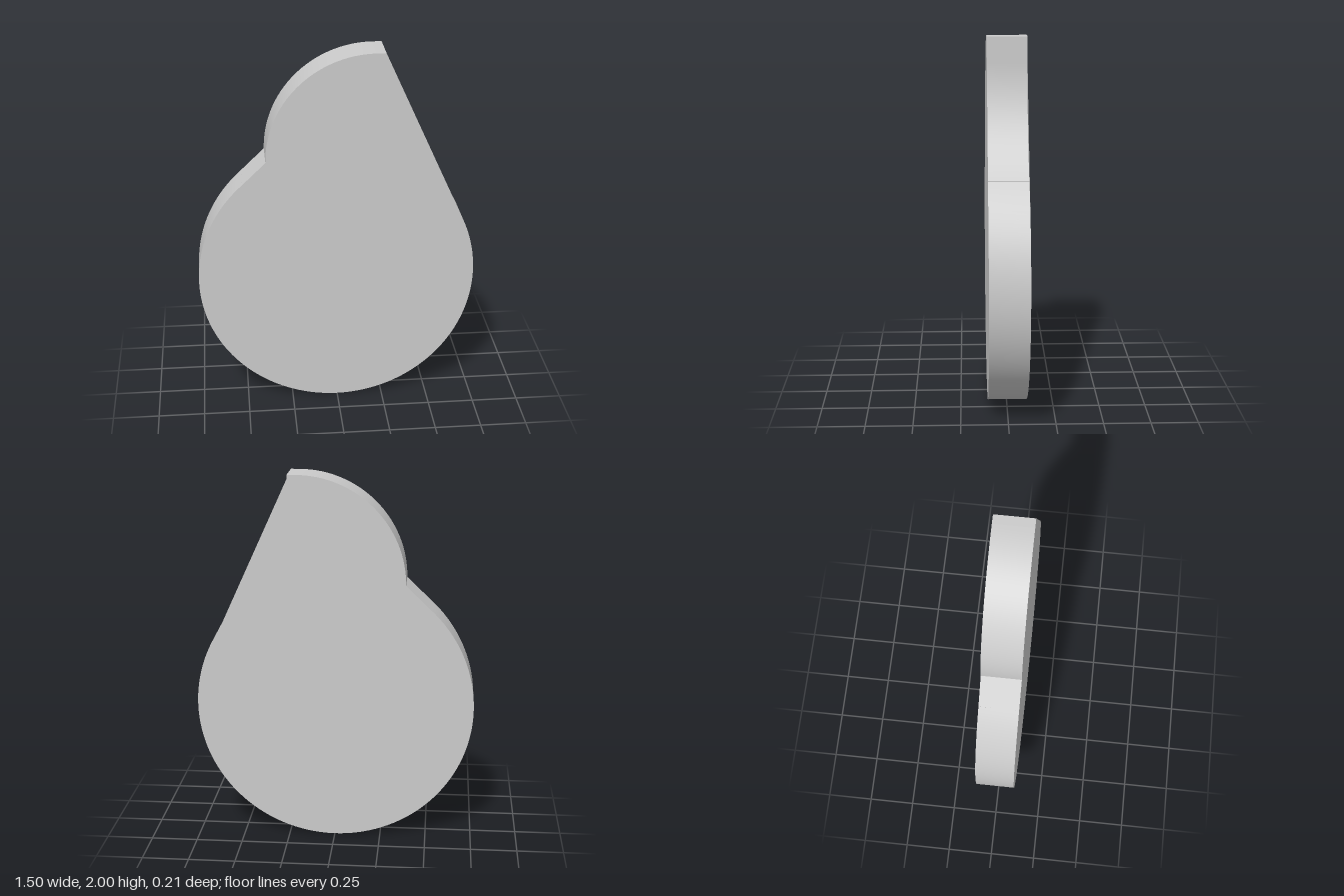
import * as THREE from 'three';

const HALF = 0.104;            // half thickness
const R = 0.748;               // main disc radius, also the concave flank radius
const JOIN = [0.5, 1.304];     // where the flanks meet the disc
const material = new THREE.MeshStandardMaterial({ color: 0xcccccc, side: THREE.DoubleSide });

// Points along a circular arc, angles in radians
function arc(cx, cy, r, a0, a1, n) {
  return Array.from({ length: n + 1 }, (_, i) => {
    const a = a0 + (a1 - a0) * i / n;
    return new THREE.Vector2(cx + r * Math.cos(a), cy + r * Math.sin(a));
  });
}

// Rim strip spanning the thickness along a counter-clockwise path
function ribbon(points) {
  const pos = [], index = [];
  points.forEach((p, i) => {
    pos.push(p.x, p.y, HALF, p.x, p.y, -HALF);
    if (i) {
      const a = 2 * i - 2;
      index.push(a, a + 1, a + 2, a + 1, a + 3, a + 2);
    }
  });
  const g = new THREE.BufferGeometry();
  g.setAttribute('position', new THREE.Float32BufferAttribute(pos, 3));
  g.setIndex(index);
  g.computeVertexNormals();
  return g;
}

export function createModel() {
  const group = new THREE.Group();
  const add = (name, geometry) => {
    const mesh = new THREE.Mesh(geometry, material);
    mesh.name = name;
    group.add(mesh);
    return mesh;
  };
  const V = (x, y) => new THREE.Vector2(x, y);

  // Profile pieces
  const joinAngle = Math.atan2(JOIN[1] - R, JOIN[0]);
  const disc = (start) => arc(0, R, R, start, -Math.PI - joinAngle, 96);
  const lobe = arc(0.2, 1.425, 0.575, Math.PI, Math.PI / 2, 32);
  const tip = V(0.25, 2), shoulder = V(0.25, 1.863);
  const flank = arc(0.25 + R, 1.863, R, Math.PI, Math.PI + joinAngle, 32);

  // Rim: the concave flank lies inside the straight edges of the two faces
  add('discRim', ribbon(disc(joinAngle).reverse()));
  add('lobeRim', ribbon(lobe.slice().reverse()));
  add('notchRim', ribbon([lobe[0], V(-JOIN[0], JOIN[1])]));
  add('tipRim', ribbon([tip, lobe[lobe.length - 1]]));
  add('shoulderRim', ribbon([shoulder, tip]));
  add('concaveFlank', ribbon(flank.slice().reverse()));

  // Angle at which a line from p touches the disc on its right side
  const tangent = (p) => Math.atan2(p.y - R, p.x) - Math.acos(R / Math.hypot(p.x, p.y - R));

  // Faces: straight from the tip at the front, from the shoulder at the back
  const front = [...disc(tangent(tip)), ...lobe, tip];
  const back = [...disc(tangent(shoulder)), ...lobe, tip, shoulder];
  add('frontFace', new THREE.ShapeGeometry(new THREE.Shape(front))).position.z = HALF;
  const backGeometry = new THREE.ShapeGeometry(new THREE.Shape(back.map((p) => V(-p.x, p.y))));
  const backFace = add('backFace', backGeometry.rotateY(Math.PI));
  backFace.position.z = -HALF;
  return group;
}
